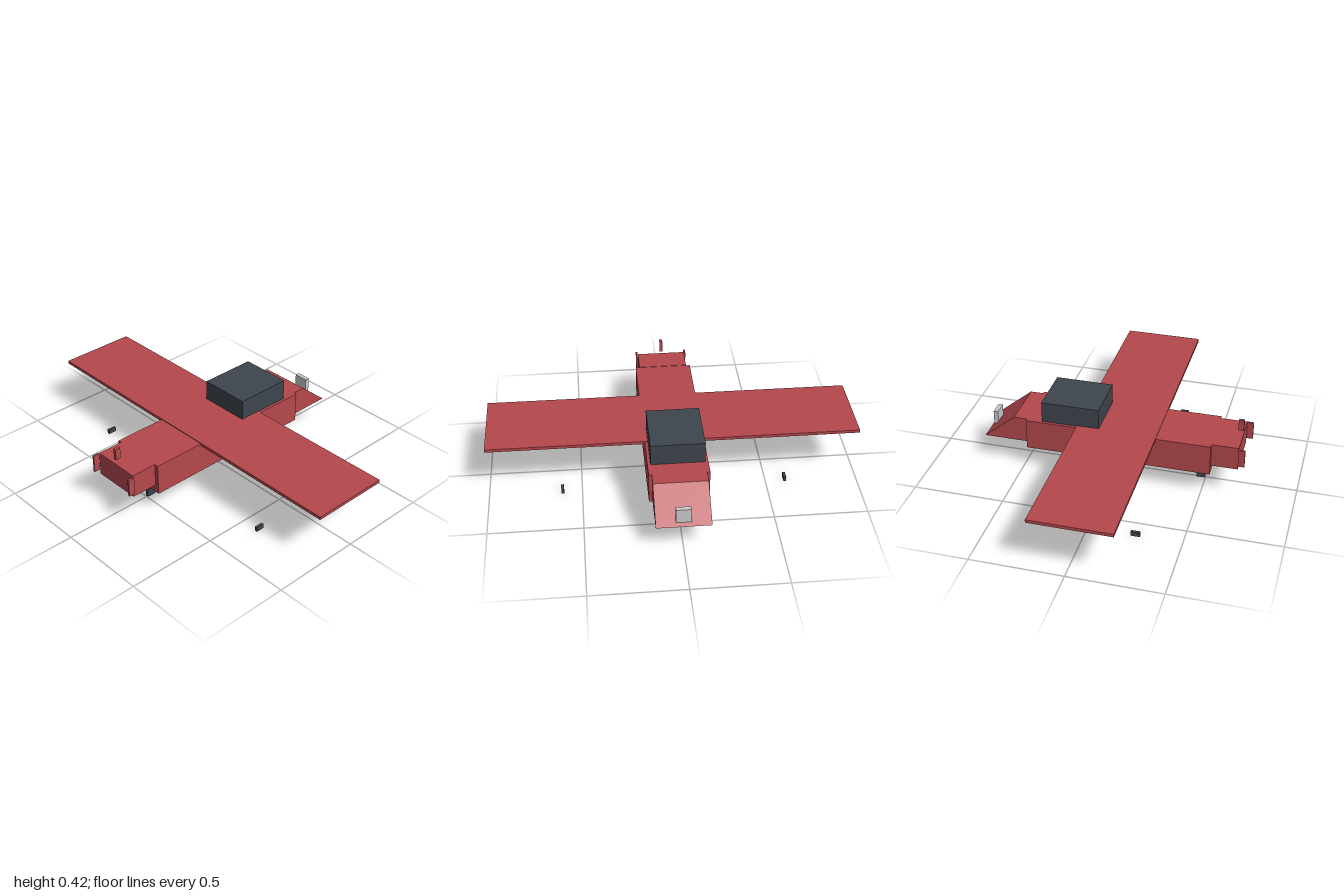
import * as THREE from 'three';

const material = (name, color) => {
  const m = new THREE.MeshStandardMaterial({ color });
  m.name = name;
  return m;
};

export function createModel() {
  const group = new THREE.Group();
  const red = material('red', 0xb5484d);
  const dark = material('charcoal', 0x3e454e);
  const grey = material('light grey', 0xcbcbcb);

  // Box given by its lower and upper limits on each axis
  const box = (name, mat, [x0, x1], [y0, y1], [z0, z1]) => {
    const mesh = new THREE.Mesh(new THREE.BoxGeometry(x1 - x0, y1 - y0, z1 - z0), mat);
    mesh.position.set((x0 + x1) / 2, (y0 + y1) / 2, (z0 + z1) / 2);
    mesh.name = name;
    group.add(mesh);
  };
  // Box centred on z with a given depth
  const slab = (name, mat, x, y, z, depth) => box(name, mat, x, y, [z - depth / 2, z + depth / 2]);

  // Fuselage and tail
  slab('fuselage', red, [-0.545, 0.473], [0.13, 0.303], 0, 0.316);
  slab('tailBlock', red, [-0.69, -0.545], [0.174, 0.305], 0, 0.272);
  slab('topFin', red, [-0.692, -0.662], [0.335, 0.398], 0, 0.016);

  // Sloping nose
  const profile = new THREE.Shape([
    new THREE.Vector2(0.473, 0.159), new THREE.Vector2(0.72, 0.159),
    new THREE.Vector2(0.545, 0.303), new THREE.Vector2(0.473, 0.303),
  ]);
  const noseGeometry = new THREE.ExtrudeGeometry(profile, { depth: 0.284, bevelEnabled: false });
  noseGeometry.translate(0, 0, -0.142);
  const nose = new THREE.Mesh(noseGeometry, red);
  nose.name = 'nose';
  group.add(nose);
  slab('nosePlate', grey, [0.68, 0.705], [0.176, 0.256], 0, 0.08);

  // Wing, the dark spar beneath it and the cabin
  slab('wing', red, [-0.248, 0.188], [0.29, 0.307], 0, 2);
  slab('underWingSpar', dark, [-0.102, 0.043], [0.255, 0.264], 0, 1.89);
  slab('cabin', dark, [0.067, 0.386], [0.303, 0.42], 0, 0.284);

  // Mirrored tail fins, engine pods and wing wheels
  for (const s of [-1, 1]) {
    slab('sideTailFin', red, [-0.725, -0.69], [0.2, 0.3], s * 0.142, 0.01);
    slab('enginePod', grey, [-0.026, 0.019], [0.199, 0.245], s * 0.497, 0.045);
    slab('engineHub', grey, [-0.046, -0.026], [0.211, 0.233], s * 0.497, 0.022);
    for (const x of [-0.255, 0.184]) {
      slab('wingWheel', dark, [x - 0.024, x + 0.024], [0.003, 0.028], s * 0.606, 0.015);
    }
  }
  slab('tailWheel', dark, [-0.496, -0.449], [0, 0.05], 0, 0.016);

  return group;
}
